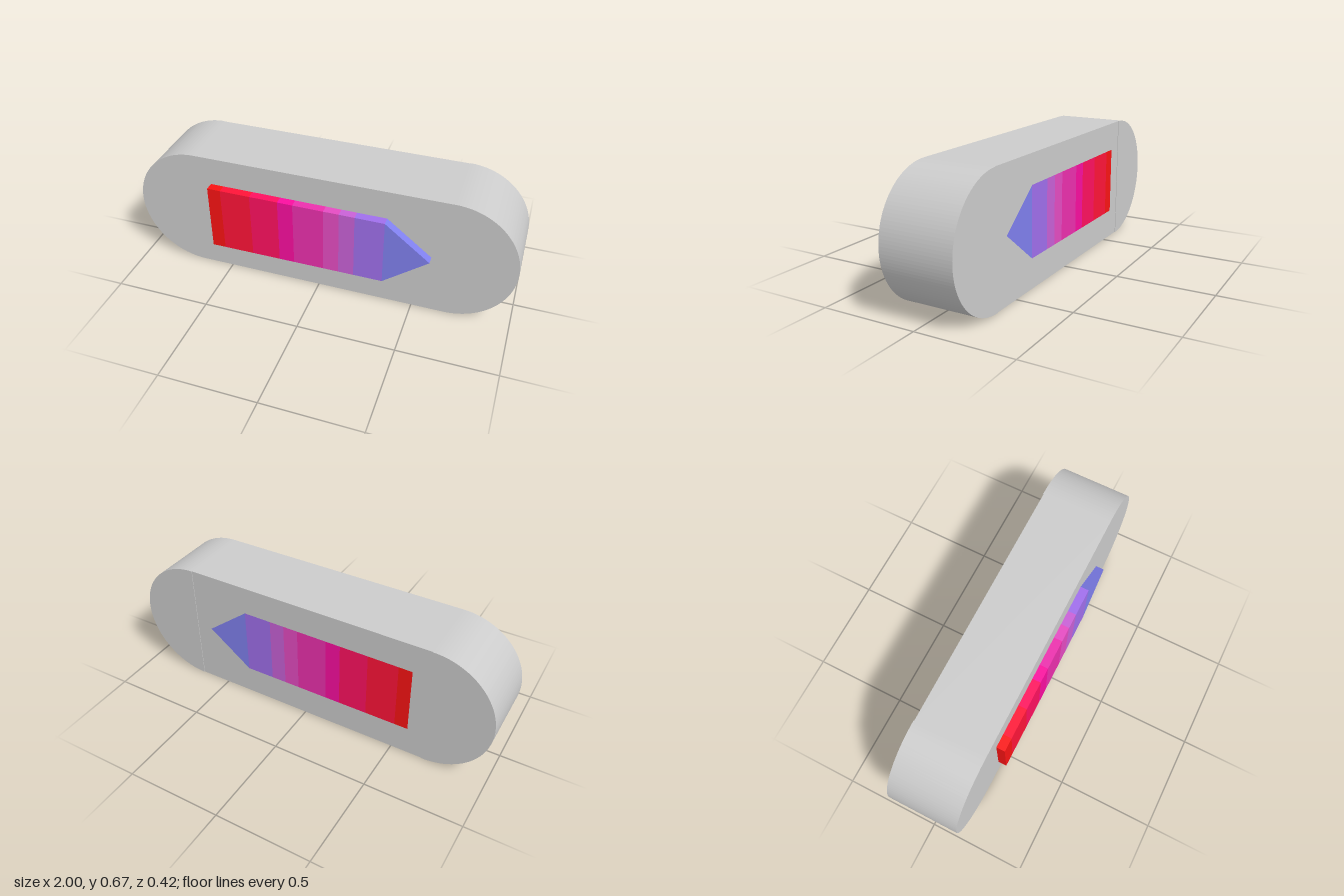
import * as THREE from 'three';

const R = 0.3335, CX = 0.6665, CY = 0.3335;   // end radius and centre
const FRONT = 0.165, BACK = -0.21, PANEL_BACK = -0.207, RAISED = 0.21;
const Y0 = 0.155, Y1 = 0.515;                 // arrow bottom and top

const polygon = (points) => new THREE.Shape(points.map(([x, y]) => new THREE.Vector2(x, y)));

function prism(name, shape, z0, z1, color) {
  const geometry = new THREE.ExtrudeGeometry(shape, { depth: z1 - z0, bevelEnabled: false, curveSegments: 32 });
  geometry.translate(0, 0, z0);
  const mesh = new THREE.Mesh(geometry, new THREE.MeshStandardMaterial({ color, flatShading: true }));
  mesh.name = name;
  return mesh;
}

export function createModel() {
  const model = new THREE.Group();
  model.name = 'arrowCapsule';

  // Straight middle of the casing, with an arrow-shaped opening
  const middle = polygon([[-CX, 0], [CX, 0], [CX, 2 * R], [-CX, 2 * R]]);
  middle.holes.push(new THREE.Path(
    [[-0.58, Y0], [-0.58, Y1], [0.35, Y1], [0.58, CY], [0.35, Y0]].map(([x, y]) => new THREE.Vector2(x, y))));
  model.add(prism('casingMiddle', middle, PANEL_BACK, FRONT, 0xcccccc));

  // Half-round ends, slightly proud of the middle at the back
  for (const [name, side] of [['leftEnd', 1], ['rightEnd', -1]]) {
    const end = new THREE.Shape();
    end.absarc(side * CX, CY, R, -side * Math.PI / 2, side * Math.PI / 2 + (side < 0 ? 2 * Math.PI : 0), false);
    model.add(prism(name, end, BACK, FRONT, 0xcccccc));
  }

  // Arrow shaft: colour bands as [right edge, colour], running through the casing
  const arrow = new THREE.Group();
  arrow.name = 'arrow';
  const bands = [
    [-0.51, 0xfa1414], [-0.35, 0xff1438], [-0.20, 0xff1160], [-0.12, 0xfa0ea0],
    [0.04, 0xec30ae], [0.12, 0xe54cc2], [0.20, 0xc961d7], [0.35, 0xa06fec],
  ];
  let x = -0.58;
  bands.forEach(([end, color], i) => {
    const band = polygon([[x, Y0], [end, Y0], [end, Y1], [x, Y1]]);
    arrow.add(prism(`shaftBand${i + 1}`, band, PANEL_BACK, RAISED, color));
    x = end;
  });

  // Arrow head
  const head = polygon([[0.35, Y0], [0.58, CY], [0.35, Y1]]);
  arrow.add(prism('arrowHead', head, PANEL_BACK, RAISED, 0x8080ef));
  model.add(arrow);

  return model;
}
